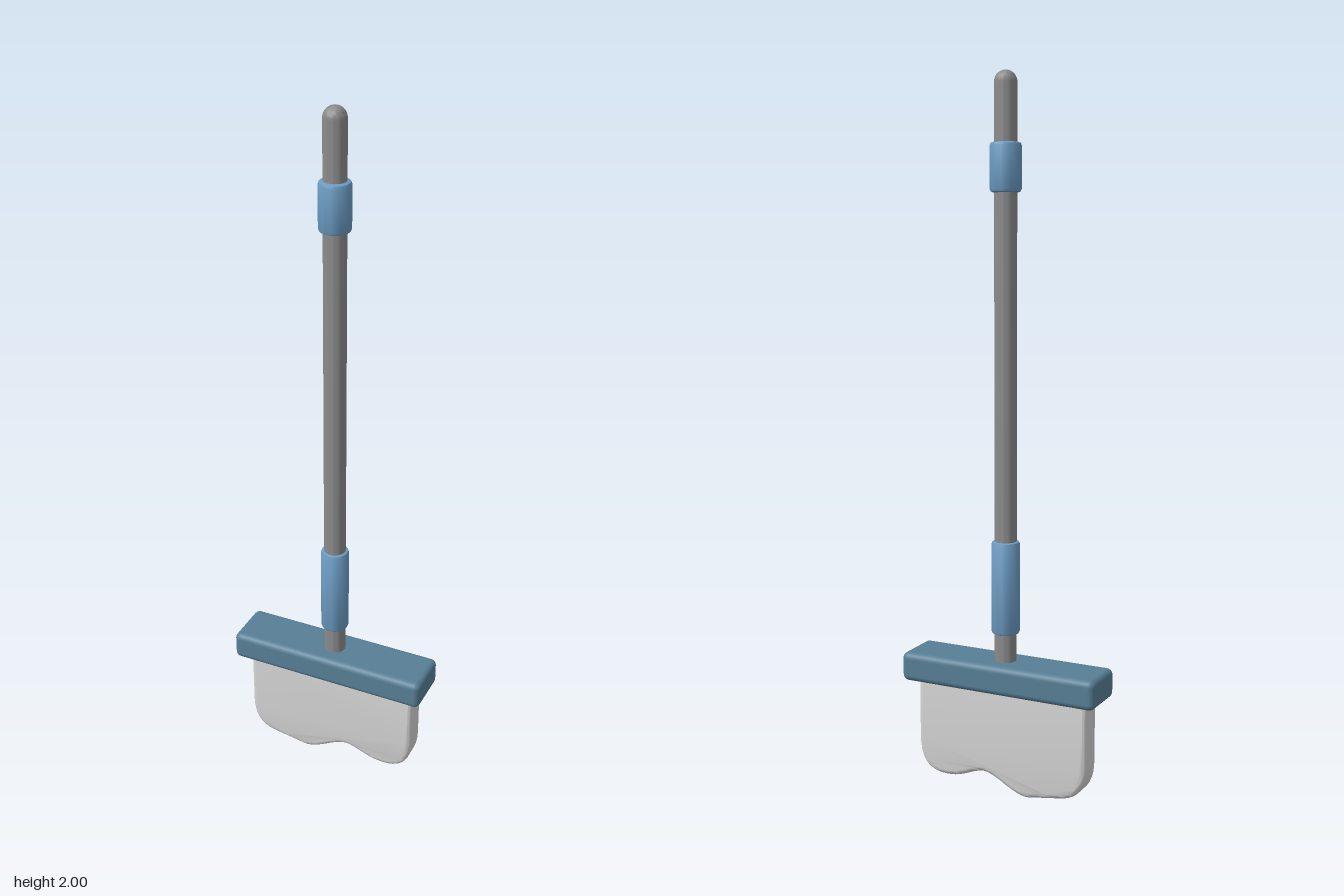
import * as THREE from 'three';
import { toCreasedNormals } from 'three/addons/utils/BufferGeometryUtils.js';
import { RoundedBoxGeometry } from 'three/addons/geometries/RoundedBoxGeometry.js';

const material = (name, color) => {
  const m = new THREE.MeshStandardMaterial({ color });
  m.name = name;
  return m;
};

export function createModel() {
  const gray = material('pole gray', 0x8a8a8a);
  const lightBlue = material('grip blue', 0x6c9cc4);
  const darkBlue = material('head blue', 0x587f96);
  const pale = material('bristle pale gray', 0xd4d4d4);

  const model = new THREE.Group();
  model.name = 'broom';
  const add = (name, geometry, mat) => {
    const mesh = new THREE.Mesh(geometry, mat);
    mesh.name = name;
    model.add(mesh);
    return mesh;
  };
  const lathe = (points) =>
    toCreasedNormals(new THREE.LatheGeometry(points.map(([r, y]) => new THREE.Vector2(r, y)), 32), 0.7);

  // Pole with a domed top
  const pole = [[0, 0.36], [0.031, 0.36], [0.031, 1.969]];
  for (let i = 1; i <= 8; i++) {
    const a = (i / 8) * Math.PI / 2;
    pole.push([0.031 * Math.cos(a), 1.969 + 0.031 * Math.sin(a)]);
  }
  add('pole', lathe(pole), gray);

  // Two grips with softened rims
  const grip = (name, r, y0, y1) => {
    const b = 0.009;
    add(name, lathe([
      [0.029, y0], [r - b, y0], [r - b * 0.3, y0 + b * 0.3], [r, y0 + b],
      [r, y1 - b], [r - b * 0.3, y1 - b * 0.3], [r - b, y1], [0.029, y1],
    ]), lightBlue);
  };
  grip('lowerGrip', 0.04, 0.465, 0.73);
  grip('upperGrip', 0.043, 1.682, 1.814);

  // Head block
  add('headBlock', new RoundedBoxGeometry(0.597, 0.084, 0.15, 4, 0.018), darkBlue)
    .position.set(-0.001, 0.345, 0);

  // Bristle block with an uneven, worn lower edge
  const s = new THREE.Shape();
  s.moveTo(-0.262, 0.33);
  s.lineTo(-0.262, 0.125);
  s.bezierCurveTo(-0.262, 0.06, -0.235, 0.026, -0.18, 0.02);
  s.quadraticCurveTo(-0.13, 0.012, -0.08, 0.004);
  s.bezierCurveTo(-0.03, 0.008, 0.01, 0.054, 0.055, 0.058);
  s.bezierCurveTo(0.09, 0.054, 0.12, 0.03, 0.16, 0.028);
  s.bezierCurveTo(0.225, 0.022, 0.262, 0.05, 0.262, 0.13);
  s.lineTo(0.262, 0.33);
  const bristles = new THREE.ExtrudeGeometry(s, {
    depth: 0.05, bevelEnabled: true, bevelThickness: 0.015, bevelSize: 0.015,
    bevelOffset: -0.015, bevelSegments: 4, curveSegments: 10,
  });
  bristles.translate(0, 0, -0.025);
  add('bristles', toCreasedNormals(bristles, 0.7), pale);

  return model;
}
